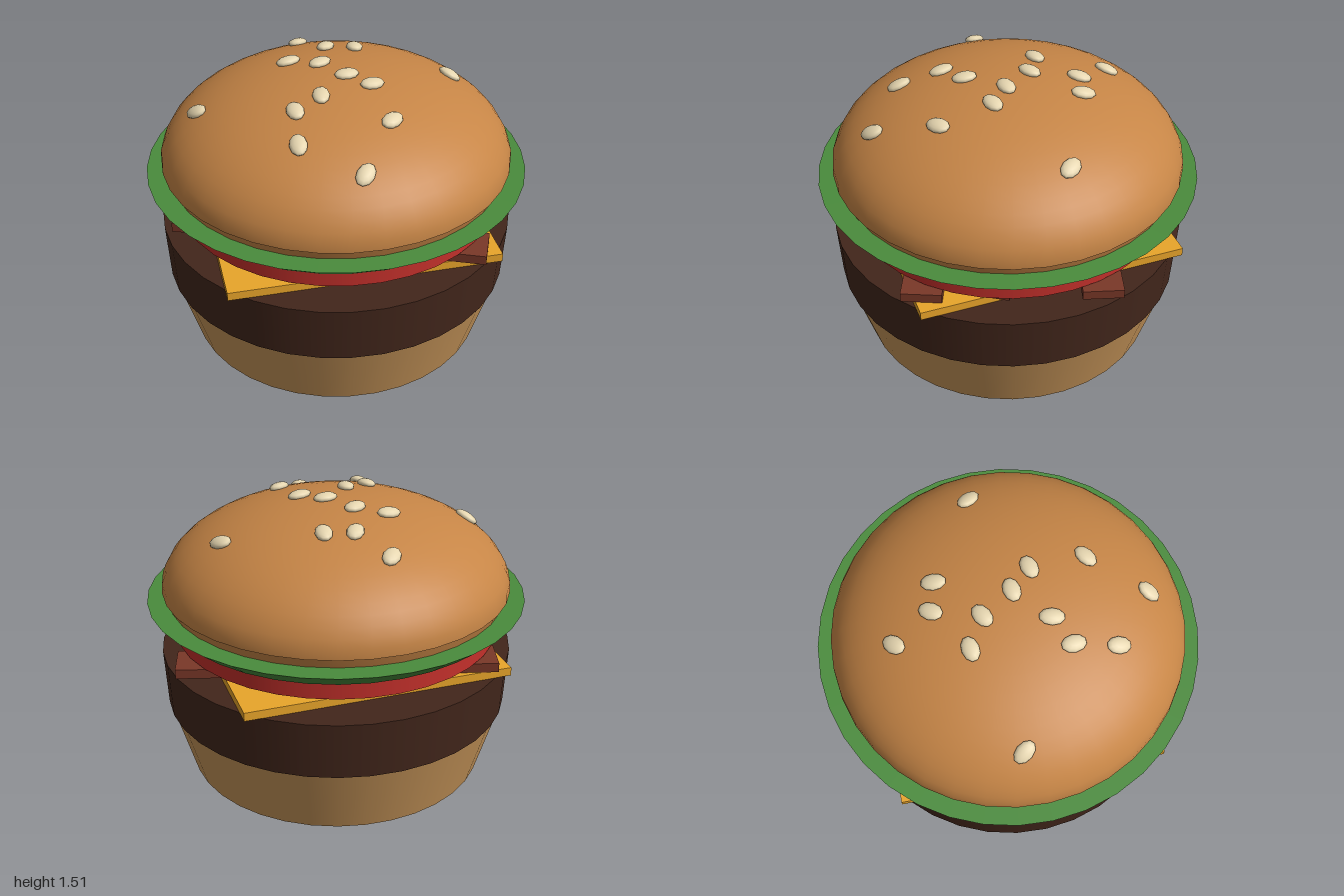
import * as THREE from 'three';
import { toCreasedNormals } from 'three/addons/utils/BufferGeometryUtils.js';

const SIDES = 36;
const mat = (color) => new THREE.MeshStandardMaterial({ color });

export function createModel() {
  const group = new THREE.Group();
  const add = (name, geometry, material, x = 0, y = 0, z = 0) => {
    const mesh = new THREE.Mesh(geometry, material);
    mesh.name = name;
    mesh.position.set(x, y, z);
    group.add(mesh);
    return mesh;
  };
  // Round layer between two heights, with its own top and bottom radius
  const layer = (name, color, y0, y1, rBottom, rTop) =>
    add(name, new THREE.CylinderGeometry(rTop, rBottom, y1 - y0, SIDES), mat(color), 0, (y0 + y1) / 2, 0);

  // Stacked round layers
  layer('bottomBun', 0xc8965a, 0, 0.375, 0.8, 0.91);
  layer('patty', 0x42261b, 0.375, 0.68, 0.92, 0.937);
  layer('tomato', 0xc4302b, 0.78, 0.877, 0.86, 0.86);
  layer('lettuce', 0x4a8c3c, 0.877, 0.967, 0.89, 1.0);

  // Square cheese slice, turned so its corners stick out
  const cheese = add('cheese', new THREE.BoxGeometry(1.41, 0.045, 1.41), mat(0xe9a52a), 0, 0.7025, 0);
  cheese.rotation.y = 0.317;

  // Bacon strips: centre z and turn
  const baconMat = mat(0x7a3828);
  [[0.375, -0.09], [-0.085, -0.25], [-0.42, 0.03]].forEach(([z, turn], i) => {
    const strip = add('baconStrip' + (i + 1), new THREE.BoxGeometry(1.63, 0.05, 0.205), baconMat, 0, 0.75, z);
    strip.rotation.y = turn;
  });

  // Top bun: tapered foot, short rim, then an elliptical dome
  const R = 0.92, H = 0.455, BASE = 1.02;
  const profile = [[0, 0.965], [0.89, 0.965], [0.908, BASE], [R, BASE], [0.917, 1.07]]
    .map(([r, y]) => new THREE.Vector2(r, y));
  for (let i = 1; i <= 14; i++) {
    const a = 0.11 + (Math.PI / 2 - 0.11) * (i / 14);
    profile.push(new THREE.Vector2(i === 14 ? 0 : R * Math.cos(a), BASE + H * Math.sin(a)));
  }
  add('topBun', toCreasedNormals(new THREE.LatheGeometry(profile, SIDES), 0.5), mat(0xc68546));

  // Sesame seeds: x, z and turn, laid flush on the dome
  const seedMat = mat(0xe6d6b0);
  const seedGeo = new THREE.SphereGeometry(1, 10, 8);
  const up = new THREE.Vector3(0, 1, 0);
  [
    [-0.26, -0.53, -0.4], [-0.09, -0.37, -0.25], [0.065, -0.38, 0.15], [0.58, -0.28, 0.95],
    [-0.265, -0.15, -1.05], [-0.095, -0.115, -0.75], [0.055, 0.01, -1.1], [0.19, 0.08, -1.0],
    [-0.7, 0.165, 1.05], [-0.055, 0.22, 0.15], [-0.17, 0.34, 0.4], [0.305, 0.35, -0.6],
    [-0.13, 0.56, 0.25], [0.2, 0.685, -0.35],
  ].forEach(([x, z, turn], i) => {
    const h = H * Math.sqrt(1 - (x * x + z * z) / (R * R));
    const normal = new THREE.Vector3(x / (R * R), h / (H * H), z / (R * R)).normalize();
    const seed = add('sesameSeed' + (i + 1), seedGeo, seedMat, x, BASE + h + 0.008, z);
    seed.scale.set(0.045, 0.025, 0.066);
    seed.quaternion.setFromUnitVectors(up, normal)
      .multiply(new THREE.Quaternion().setFromAxisAngle(up, turn));
  });

  return group;
}
